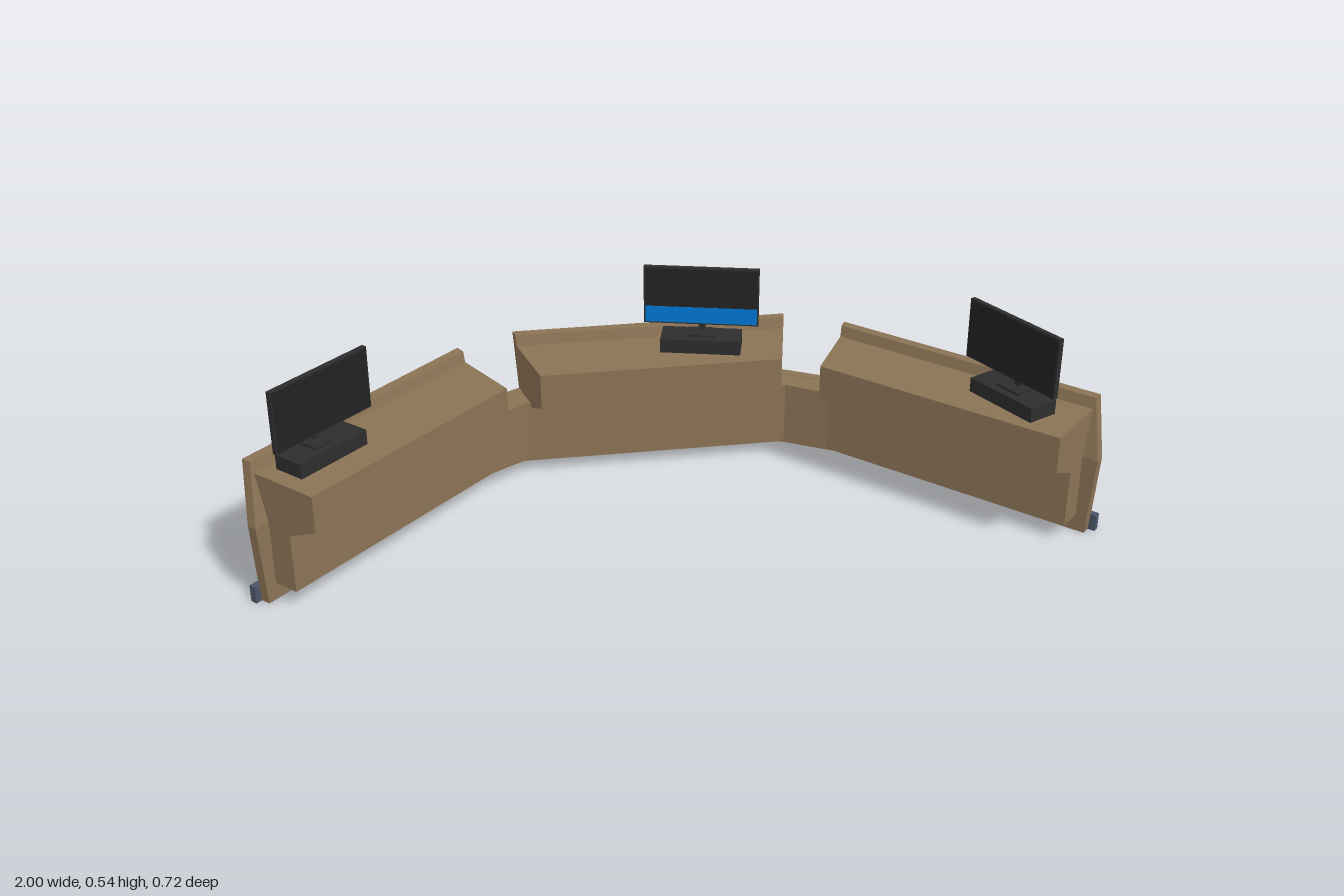
import * as THREE from 'three';

const material = (name, color) => {
  const m = new THREE.MeshStandardMaterial({ color });
  m.name = name;
  return m;
};

// Places a profile point: d is the distance outward from the inner face, y the height.
const R = Math.SQRT1_2;
const centre = (x, d, y) => [x, y, -0.235 - d];
const wing = (s, d, y) => [0.3 + R * (s + d), y, R * (s - d) - 0.3];
const mirror = ([x, y, z]) => [-x, y, z];

// Stations along the counter, each a rule from a profile point to a position
const centreEnd = (d, y) => centre(0.32 + 0.24 * d, d, y);
const wingStart = (d, y) => wing(0.181 - 0.28 * d, d, y);
const deskEnd = (d, y) => wing(0.842, d, y);
const wallEnd = (d, y) => wing(y < 0.2 ? 0.868 + 0.06 * y : 0.88 - 0.25 * (y - 0.2), d, y);
const plinthEnd = (d, y) => wing(0.885, d, y);
const foldA = (d, y) => centre(0.34 + 0.1 * (d - 0.09), d, y);
const foldB = (d, y) => wing(0.184 - 0.2 * d, d, y);
const flip = rule => (d, y) => mirror(rule(d, y));

// Joins a convex profile through its stations, closing both ends
function sweep(profile, rules) {
  const rings = rules.map(rule => profile.map(([d, y]) => rule(d, y)));
  const n = profile.length, v = [];
  const tri = (...corners) => corners.forEach(c => v.push(...c));
  for (let i = 0; i < rings.length - 1; i++) {
    for (let j = 0; j < n; j++) {
      const k = (j + 1) % n;
      tri(rings[i][j], rings[i][k], rings[i + 1][k]);
      tri(rings[i][j], rings[i + 1][k], rings[i + 1][j]);
    }
  }
  const first = rings[0], last = rings[rings.length - 1];
  for (let j = 1; j < n - 1; j++) {
    tri(first[0], first[j + 1], first[j]);
    tri(last[0], last[j], last[j + 1]);
  }
  const g = new THREE.BufferGeometry();
  g.setAttribute('position', new THREE.Float32BufferAttribute(v, 3));
  g.computeVertexNormals();
  return g;
}

export function createModel() {
  const model = new THREE.Group();
  model.name = 'receptionCounter';
  const wood = material('brownWood', 0x8b7355);
  const slate = material('slatePlinth', 0x4a5568);
  const casing = material('darkCasing', 0x2d2d2d);
  const glass = material('blackScreen', 0x222222);
  const blue = material('blueBar', 0x0078d4);

  const add = (parent, name, geometry, mat, x = 0, y = 0, z = 0) => {
    const mesh = new THREE.Mesh(geometry, mat);
    mesh.name = name;
    mesh.position.set(x, y, z);
    parent.add(mesh);
    return mesh;
  };

  // Continuous low wall, inner cabinet and outer plinth
  const run = end => [flip(end), flip(foldB), flip(foldA), foldA, foldB, end];
  add(model, 'lowWall', sweep([[0.065, 0], [0.09, 0], [0.09, 0.2], [0.065, 0.2]], run(wallEnd)), wood);
  add(model, 'cabinet', sweep([[0, 0.042], [0.07, 0.042], [0.07, 0.199], [0, 0.199]], run(deskEnd)), wood);
  add(model, 'plinth', sweep([[0.088, 0], [0.105, 0], [0.105, 0.042], [0.088, 0.042]], run(plinthEnd)), slate);

  // Three desks, each with an outward-leaning screen panel
  const desk = [[-0.085, 0.225], [0, 0.187], [0.07, 0.187], [0.1, 0.315], [-0.085, 0.315]];
  const panel = [[0.065, 0.2], [0.09, 0.2], [0.125, 0.342], [0.1, 0.342]];
  const bays = [
    ['right', [flip(deskEnd), flip(wingStart)], [flip(wallEnd), flip(wingStart)]],
    ['centre', [flip(centreEnd), centreEnd], [flip(centreEnd), centreEnd]],
    ['left', [wingStart, deskEnd], [wingStart, wallEnd]],
  ];
  for (const [side, deskRun, panelRun] of bays) {
    add(model, side + 'Desk', sweep(desk, deskRun), wood);
    add(model, side + 'Panel', sweep(panel, panelRun), wood);
  }

  // Monitors: base, neck, rear bracket and screen
  const box = (w, h, d) => new THREE.BoxGeometry(w, h, d);
  const monitor = (name, x, z, degrees, bar) => {
    const g = new THREE.Group();
    g.name = name;
    g.position.set(x, 0.315, z);
    g.rotation.y = THREE.MathUtils.degToRad(degrees);
    add(g, 'base', box(0.2, 0.036, 0.08), casing, 0, 0.018, 0);
    add(g, 'foot', box(0.07, 0.006, 0.05), casing, 0, 0.039, -0.005);
    const neck = add(g, 'neck', box(0.016, 0.12, 0.01), casing, 0, 0.098, -0.012);
    neck.rotation.x = 0.08;
    add(g, 'bracket', box(0.085, 0.016, 0.014), casing, 0, 0.145, -0.001);
    add(g, 'screenCase', box(0.285, 0.15, 0.012), casing, 0, 0.146, 0.012);
    add(g, 'screen', box(0.277, 0.142, 0.002), glass, 0, 0.146, 0.0185);
    if (bar) add(g, 'screenBar', box(0.277, 0.042, 0.002), blue, 0, 0.096, 0.0195);
    model.add(g);
  };
  monitor('rightMonitor', -0.815, 0.175, 45, false);
  monitor('centreMonitor', 0.115, -0.25, -14.5, true);
  monitor('leftMonitor', 0.785, 0.165, -64, false);

  return model;
}
